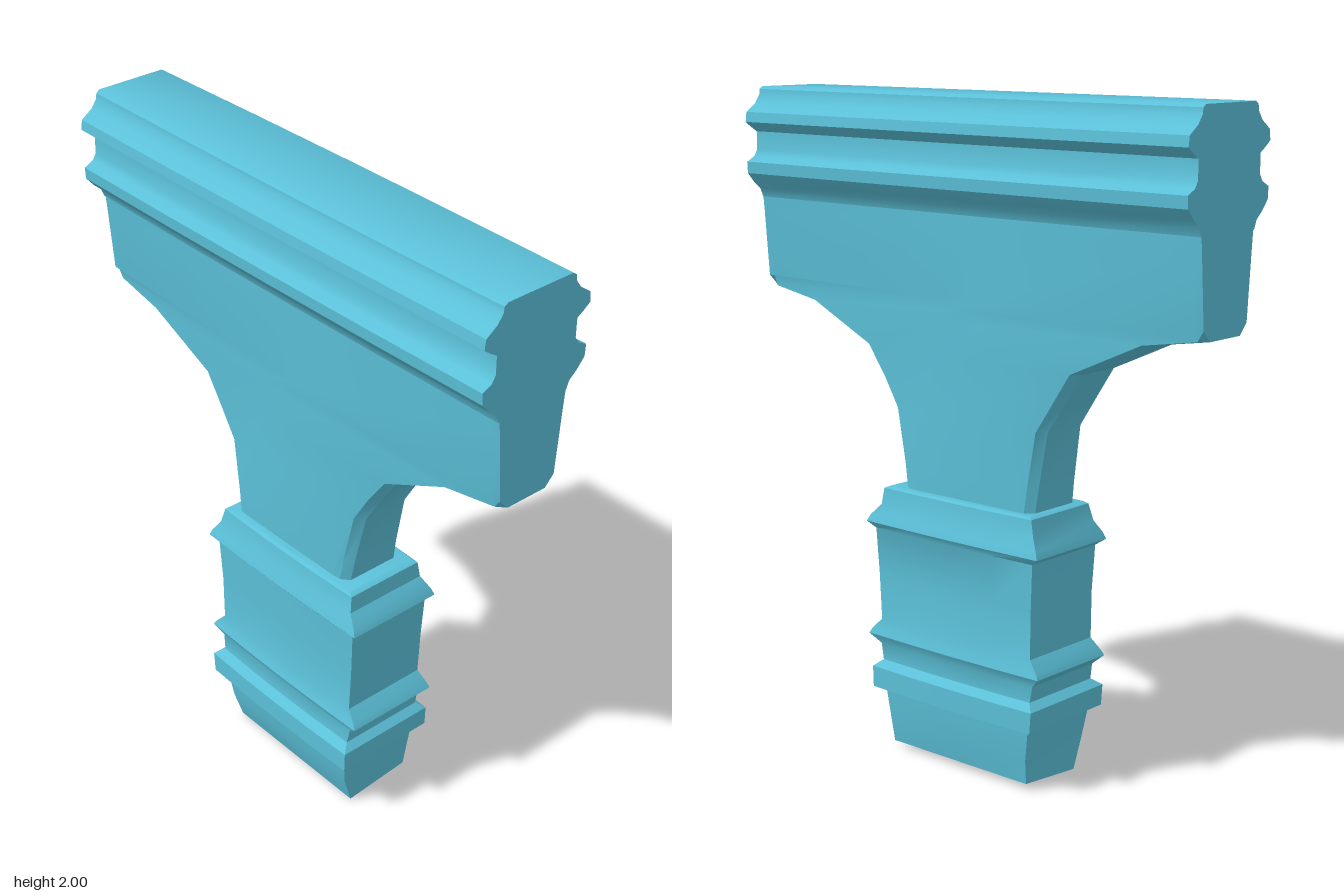
import * as THREE from 'three';
import { toCreasedNormals } from 'three/addons/utils/BufferGeometryUtils.js';

const material = new THREE.MeshStandardMaterial({ color: 0x5bc0d8 });

// Skins a stack of closed rings (counter-clockwise from above) and caps both ends.
function loft(name, rings, crease) {
  const n = rings[0].length;
  const positions = rings.flat(2);
  const index = [];
  for (let i = 0; i < rings.length - 1; i++) {
    for (let j = 0; j < n; j++) {
      const a = i * n + j, b = i * n + (j + 1) % n;
      index.push(a, b, b + n, a, b + n, a + n);
    }
  }
  const top = (rings.length - 1) * n;
  for (let j = 0; j < n / 2 - 1; j++) {
    const k = n - 1 - j;
    index.push(top + j, top + j + 1, top + k - 1, top + j, top + k - 1, top + k);
    index.push(j, k - 1, j + 1, j, k, k - 1);
  }
  const geometry = new THREE.BufferGeometry();
  geometry.setAttribute('position', new THREE.Float32BufferAttribute(positions, 3));
  geometry.setIndex(index);
  const mesh = new THREE.Mesh(toCreasedNormals(geometry, crease), material);
  mesh.name = name;
  return mesh;
}

// Rectangular ring whose two broad sides swell slightly in the middle.
function blockRing([y, left, right, front, back], slope = 0, bulge = 0.006) {
  const steps = [0, 0.25, 0.5, 0.75, 1];
  const swell = (t) => bulge * 4 * t * (1 - t);
  const z = (t) => front + (back - front) * t;
  return [
    ...steps.map((t) => [left + swell(t), y + slope * left, z(t)]),
    ...steps.toReversed().map((t) => [right - swell(t), y + slope * right, z(t)]),
  ];
}

// Neck ring: flat central panel, thinner wings and a bevelled outer edge.
function neckRing([y, front, back, edge, wing]) {
  const rise = (y - 0.8) / 0.85;
  const panel = Math.max(0.01, 0.25 * (1.62 - y) / 0.79);
  const left = 0.106 + 0.008 * rise, right = -0.106 - 0.018 * rise;
  const bevel = 0.025;
  const zs = [front, front - bevel, Math.min(panel, front - 2 * bevel),
    Math.max(-panel, back + 2 * bevel), back + bevel, back];
  const xs = (mid) => [edge, wing, mid, mid, wing, edge];
  return [
    ...zs.map((z, i) => [xs(left)[i], y, z]),
    ...zs.map((z, i) => [-xs(-right)[i], y, z]).reverse(),
  ];
}

export function createModel() {
  const group = new THREE.Group();
  group.name = 'ribbedTee';

  // Ribbed lower plug: y, left x, right x, front z, back z
  const plug = [
    [0.014, 0.12, -0.10, 0.28, -0.25],
    [0.10, 0.13, -0.13, 0.285, -0.255],
    [0.19, 0.138, -0.14, 0.295, -0.27],
    [0.20, 0.16, -0.172, 0.33, -0.295],
    [0.265, 0.16, -0.172, 0.332, -0.30],
    [0.285, 0.135, -0.145, 0.31, -0.275],
    [0.335, 0.135, -0.14, 0.318, -0.285],
    [0.365, 0.152, -0.155, 0.354, -0.318],
    [0.38, 0.148, -0.15, 0.345, -0.31],
    [0.415, 0.138, -0.14, 0.312, -0.278],
    [0.56, 0.138, -0.14, 0.32, -0.28],
    [0.70, 0.142, -0.144, 0.328, -0.288],
    [0.72, 0.156, -0.16, 0.354, -0.316],
    [0.74, 0.15, -0.154, 0.344, -0.308],
    [0.775, 0.134, -0.138, 0.312, -0.285],
    [0.825, 0.128, -0.13, 0.306, -0.272],
    [0.832, 0.12, -0.12, 0.29, -0.26],
  ];
  group.add(loft('plug', plug.map((row, i) => blockRing(row, i ? 0 : 0.09, i ? 0.006 : 0)), 0.6));

  // Flared neck and wings: y, front z, back z, edge half thickness, wing half thickness
  const neck = [
    [0.80, 0.245, -0.245, 0.085, 0.105],
    [0.90, 0.262, -0.258, 0.08, 0.102],
    [1.07, 0.30, -0.285, 0.073, 0.097],
    [1.16, 0.355, -0.345, 0.071, 0.096],
    [1.25, 0.42, -0.405, 0.07, 0.096],
    [1.36, 0.65, -0.65, 0.068, 0.097],
    [1.388, 0.825, -0.825, 0.068, 0.09],
    [1.42, 0.825, -0.825, 0.098, 0.10],
    [1.62, 0.825, -0.825, 0.113, 0.113],
    [1.675, 0.825, -0.825, 0.118, 0.118],
  ];
  group.add(loft('neck', neck.map(neckRing), 0.5));

  // Long head with two ribs along its sides: y, half width
  const head = [
    [1.665, 0.118], [1.69, 0.128], [1.71, 0.152], [1.74, 0.178],
    [1.775, 0.18], [1.79, 0.15], [1.81, 0.138], [1.865, 0.138],
    [1.88, 0.162], [1.895, 0.182], [1.925, 0.178], [1.95, 0.142],
    [1.975, 0.124], [1.992, 0.122], [2.0, 0.11],
  ];
  group.add(loft('head', head.map(([y, x]) => blockRing([y, x, -x - 0.003, 0.825, -0.825])), 0.65));

  return group;
}
